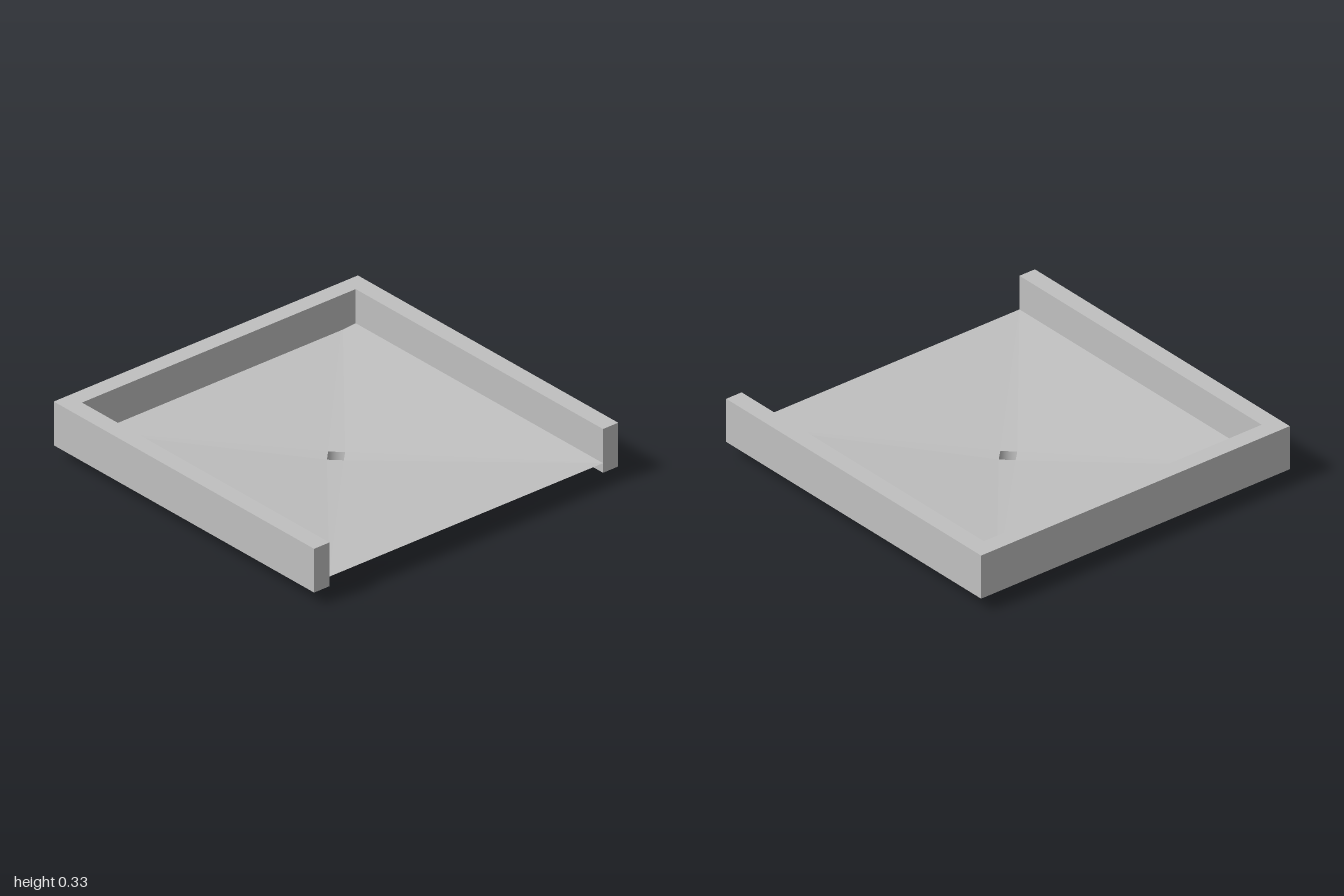
import * as THREE from 'three';

export function createModel() {
  const group = new THREE.Group();
  const grey = new THREE.MeshStandardMaterial({ color: 0xc0c0c0, side: THREE.DoubleSide });
  grey.name = 'plain grey';
  const add = (name, geometry) => {
    const mesh = new THREE.Mesh(geometry, grey);
    mesh.name = name;
    group.add(mesh);
    return mesh;
  };

  const base = 0.08, top = 0.33, rim = 0.135, inner = 0.9, hole = 0.06;

  // U-shaped wall, open at the front: plan outline extruded upwards
  const plan = [[-1, -1], [-inner, -1], [-inner, inner], [inner, inner],
    [inner, -1], [1, -1], [1, 1], [-1, 1]];
  const outline = new THREE.Shape(plan.map(([x, y]) => new THREE.Vector2(x, y)));
  const wall = new THREE.ExtrudeGeometry(outline, { depth: top - base, bevelEnabled: false });
  wall.rotateX(-Math.PI / 2);
  add('surroundWall', wall).position.y = base;

  // Thin floor falling from a rectangular rim to a diamond drain hole
  const corners = [[inner, 1], [inner, -1], [-inner, -1], [-inner, 1]]
    .map(([x, z]) => [x, rim, z]);
  const diamond = [[hole, 0], [0, -hole], [-hole, 0], [0, hole]]
    .map(([x, z]) => [x, base, z]);
  const points = [];
  for (let i = 0; i < 4; i++) {
    const j = (i + 1) % 4;
    points.push(...corners[i], ...corners[j], ...diamond[i]); // side slope
    points.push(...corners[j], ...diamond[j], ...diamond[i]); // corner slope
  }
  const floor = new THREE.BufferGeometry();
  floor.setAttribute('position', new THREE.Float32BufferAttribute(points, 3));
  floor.computeVertexNormals();
  add('slopedFloor', floor);

  // Drain pipe, open at the top and closed at the bottom
  add('drainPipe', new THREE.CylinderGeometry(hole, hole, base, 32, 1, true)).position.y = base / 2;
  add('drainBottom', new THREE.CircleGeometry(hole, 32).rotateX(Math.PI / 2));

  return group;
}
